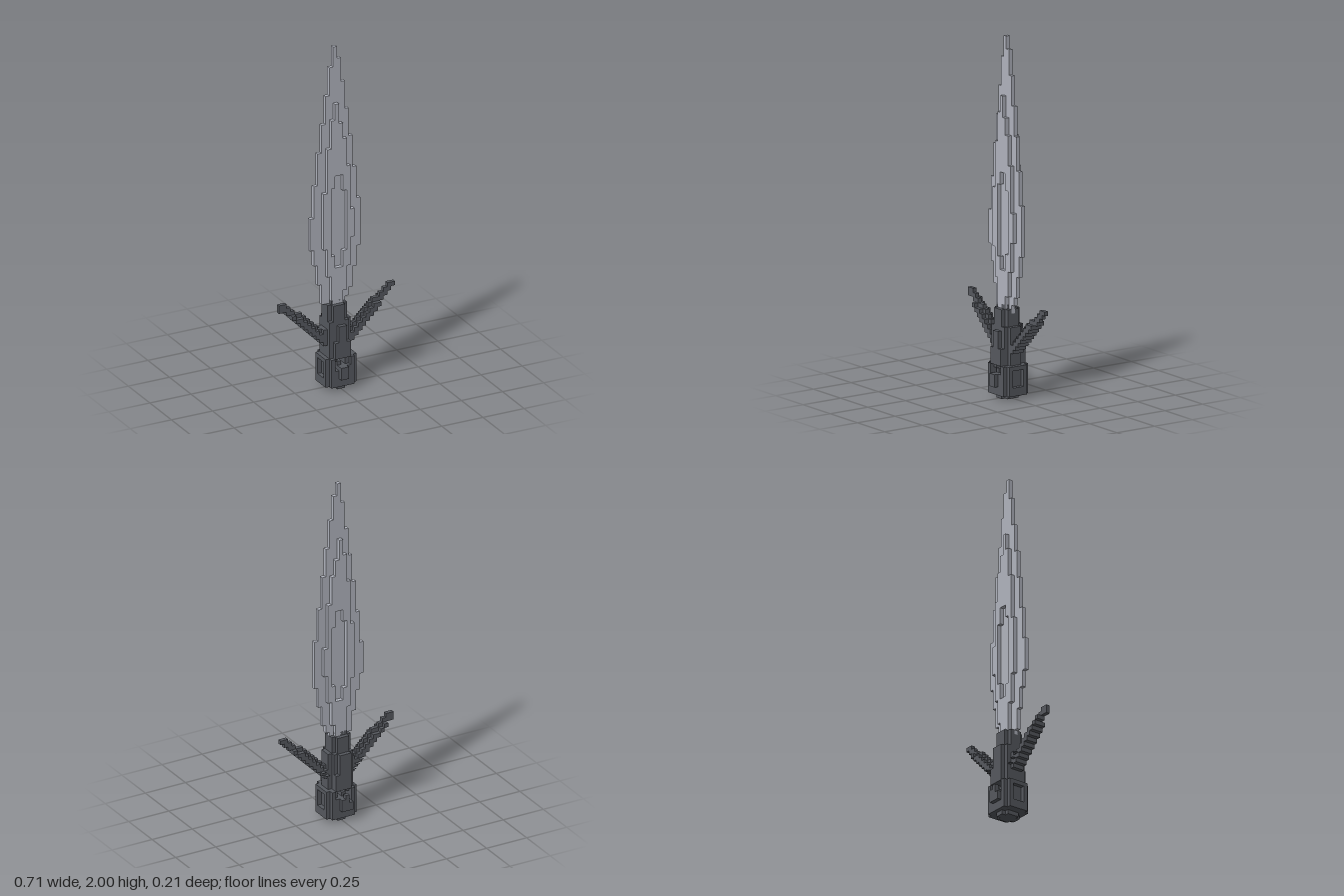
import * as THREE from 'three';
import { mergeGeometries } from 'three/addons/utils/BufferGeometryUtils.js';

// The model sits on a grid of 30 columns, 85 rows and 9 layers
const V = 2 / 85;

// Box over columns [c0,c1), rows [r0,r1), layers [l0,l1)
function block(c0, c1, r0, r1, l0, l1) {
  const g = new THREE.BoxGeometry((c1 - c0) * V, (r1 - r0) * V, (l1 - l0) * V);
  g.translate(((c0 + c1) / 2 - 15) * V, ((r0 + r1) / 2) * V, ((l0 + l1) / 2 - 4.5) * V);
  return g;
}

export function createModel() {
  const model = new THREE.Group();
  const steel = new THREE.MeshStandardMaterial({ color: 0xb1b4be });
  steel.name = 'pale steel';
  const iron = new THREE.MeshStandardMaterial({ color: 0x56595f });
  iron.name = 'dark iron';

  function part(name, boxes, material) {
    const mesh = new THREE.Mesh(mergeGeometries(boxes), material);
    mesh.name = name;
    model.add(mesh);
  }

  // Leaf-shaped blade, one layer thick: [column, bottom row, top row]
  const leaf = [
    [8, 35, 43], [9, 31, 51], [10, 26, 59], [11, 21, 66], [12, 20, 73], [13, 20, 80], [14, 20, 85],
    [15, 20, 82], [16, 20, 76], [17, 22, 69], [18, 24, 62], [19, 29, 54], [20, 34, 46],
  ];
  part('blade', leaf.map(([c, b, t]) => block(c, c + 1, b, t, 4, 5)), steel);

  // Raised ridge on both faces, with a sunken fuller in the middle
  const ridge = [
    [11, 35, 49], [12, 28, 60], [13, 21, 67], [14, 20, 71],
    [15, 20, 66], [16, 24, 62], [17, 30, 55], [18, 37, 44],
  ];
  const fuller = { 13: [33, 50], 14: [30, 53], 15: [30, 53], 16: [34, 49] };
  const ridgeBoxes = [];
  for (const [c, b, t] of ridge) {
    const spans = fuller[c] ? [[b, fuller[c][0]], [fuller[c][1], t]] : [[b, t]];
    for (const [r0, r1] of spans)
      for (const l of [3, 5]) ridgeBoxes.push(block(c, c + 1, r0, r1, l, l + 1));
  }
  part('bladeRidge', ridgeBoxes, steel);

  // Guard arms sweep up and outward, thinning to a single layer at the tips
  for (const side of [-1, 1]) {
    const boxes = [];
    for (let i = 0; i <= 11; i++) {
      const c = side < 0 ? i : 29 - i;
      const top = 23 - Math.max(0, Math.round((i - 1) * 0.85));
      const bottom = 21 - Math.max(0, Math.round((i - 1) * 1.02)) + (side > 0 && i === 0 ? 1 : 0);
      boxes.push(block(c, c + 1, bottom, top, 4, 5));
      const start = side < 0 ? 2 : 3;
      if (i >= start) boxes.push(block(c, c + 1, bottom, top - 1, 3, 4));
      if (i >= start + 1) boxes.push(block(c, c + 1, bottom, top - 1, 5, 6));
      if (i >= 10 || (side < 0 && i === 9)) boxes.push(block(c, c + 1, bottom + 1, top - 2, 2, 3));
    }
    part(side < 0 ? 'rightGuardArm' : 'leftGuardArm', boxes, iron);
  }

  // Grip with a stepped round section and a narrower collar on top
  part('grip', [
    block(12, 17, 16, 21, 3, 6),
    block(13, 16, 16, 22, 3, 6),
    block(13, 16, 16, 21, 2, 7),
    block(12, 18, 8, 17, 3, 6),
    block(12, 17, 8, 17, 2, 7),
    block(11, 18, 11, 15, 3, 6),
    block(13, 17, 8, 12, 1, 8),
    block(14, 16, 8, 16, 1, 8),
    block(13, 16, 8, 17, 1, 2),
  ], iron);

  // Pommel: a hollowed knob, pierced front to back
  const widths = [[13, 16], [12, 18], [11, 19], [11, 19], [11, 19], [11, 19], [11, 19], [12, 18], [14, 16]];
  const pierced = ['13,5', '13,6', '14,7', '15,7', '15,6'];
  const knob = [];
  for (let r = 1; r < 8; r++) {
    for (let l = 0; l < 9; l++) {
      if ((l === 0 && (r < 3 || r > 6)) || (l === 8 && (r < 3 || r > 5))) continue;
      if (r === 1 && (l < 1 || l > 7)) continue;
      for (let c = widths[l][0]; c < widths[l][1]; c++) {
        const sideHollow = (c === 11 || c === 18) && l >= 3 && l <= 5 && r >= 3 && r <= 6;
        const faceHollow = (l === 1 || l === 7) && c >= 13 && c <= 16 && r >= 6;
        if (sideHollow || faceHollow || pierced.includes(c + ',' + r)) continue;
        knob.push(block(c, c + 1, r, r + 1, l, l + 1));
      }
    }
  }
  part('pommel', knob, iron);
  part('pommelBase', [block(13, 17, 0, 1, 3, 6), block(14, 16, 0, 1, 2, 7)], iron);

  return model;
}
